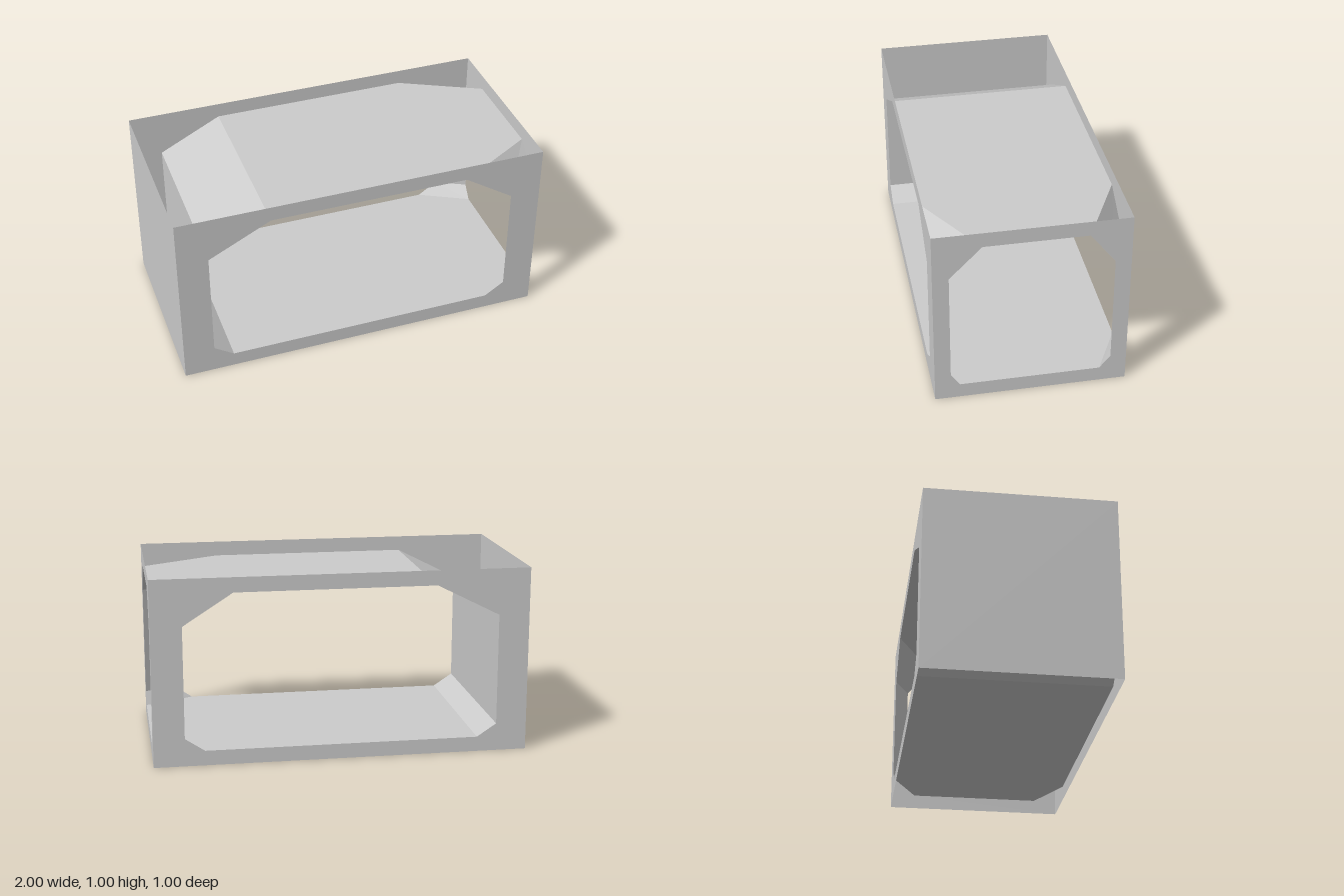
import * as THREE from 'three';

const material = new THREE.MeshStandardMaterial({
  color: 0xcccccc, flatShading: true, side: THREE.DoubleSide,
});

// Key heights and positions of the passage
const FLOOR = 0.08, LOW = 0.15, HIGH = 0.75, CEILING = 0.92;
const WALL = 0.835; // side edges of the front and back openings
const JAMB = 0.417; // edges of the end opening

// Openings as [across, y], counter-clockwise from the lower left
const longOpening = [
  [-0.73, FLOOR], [0.73, FLOOR], [WALL, LOW], [WALL, HIGH],
  [0.57, CEILING], [-0.5, CEILING], [-WALL, HIGH], [-WALL, LOW],
];
// Here "across" is -z
const endOpening = [
  [-0.37, FLOOR], [0.36, FLOOR], [JAMB, LOW], [JAMB, HIGH],
  [0.285, CEILING], [-0.25, CEILING], [-JAMB, HIGH], [-JAMB, LOW],
];

// Thin upright panel, optionally with an opening
function panel(name, width, opening) {
  const h = width / 2;
  const toPoints = (list) => list.map(([x, y]) => new THREE.Vector2(x, y));
  const shape = new THREE.Shape(toPoints([[-h, 0], [h, 0], [h, 1], [-h, 1]]));
  if (opening) shape.holes.push(new THREE.Path(toPoints(opening)));
  const mesh = new THREE.Mesh(new THREE.ShapeGeometry(shape), material);
  mesh.name = name;
  return mesh;
}

// Flat convex facet through the given corners
function facet(name, corners) {
  const geometry = new THREE.BufferGeometry();
  geometry.setAttribute('position', new THREE.Float32BufferAttribute(corners.flat(), 3));
  const index = [];
  for (let i = 1; i < corners.length - 1; i++) index.push(0, i, i + 1);
  geometry.setIndex(index);
  const flat = geometry.toNonIndexed();
  flat.computeVertexNormals();
  const mesh = new THREE.Mesh(flat, material);
  mesh.name = name;
  return mesh;
}

export function createModel() {
  const model = new THREE.Group();
  model.name = 'corridorJunction';

  // Outer panels; the top and underside of the box are open
  const front = panel('frontPanel', 2, longOpening);
  front.position.z = 0.5;
  const back = panel('backPanel', 2, longOpening);
  back.position.z = -0.5;
  const openEnd = panel('openEndPanel', 1, endOpening);
  openEnd.rotation.y = Math.PI / 2;
  openEnd.position.x = 1;
  const closedEnd = panel('closedEndPanel', 1);
  closedEnd.rotation.y = -Math.PI / 2;
  closedEnd.position.x = -1;
  model.add(front, back, openEnd, closedEnd);

  const atFace = (i, z) => [...longOpening[i], z];
  const atEnd = (i) => [1, endOpening[i][1], -endOpening[i][0]];

  // Floor and ceiling, with the corners cut off towards the open end
  model.add(facet('floor', [
    atFace(0, 0.5), atFace(1, 0.5), atEnd(0), atEnd(1), atFace(1, -0.5), atFace(0, -0.5),
  ]));
  model.add(facet('ceiling', [
    atFace(5, -0.5), atFace(4, -0.5), atEnd(4), atEnd(5), atFace(4, 0.5), atFace(5, 0.5),
  ]));

  // Closed side of the passage: upper slope, wall, lower slope
  ['upperSlope', 'sideWall', 'lowerSlope'].forEach((name, k) => {
    const a = 5 + k, b = (6 + k) % 8;
    model.add(facet(name, [atFace(a, 0.5), atFace(a, -0.5), atFace(b, -0.5), atFace(b, 0.5)]));
  });

  // Corner pillars joining the long openings to the end opening
  for (const [side, z, ends] of [['front', 0.5, [0, 7, 6, 5]], ['back', -0.5, [1, 2, 3, 4]]]) {
    const pillar = new THREE.Group();
    pillar.name = side + 'CornerPillar';
    ['lowerChamfer', 'jamb', 'upperChamfer'].forEach((name, k) => {
      const corners = [atFace(k + 1, z), atFace(k + 2, z), atEnd(ends[k + 1]), atEnd(ends[k])];
      pillar.add(facet(name, z > 0 ? corners : corners.reverse()));
    });
    model.add(pillar);
  }
  return model;
}
